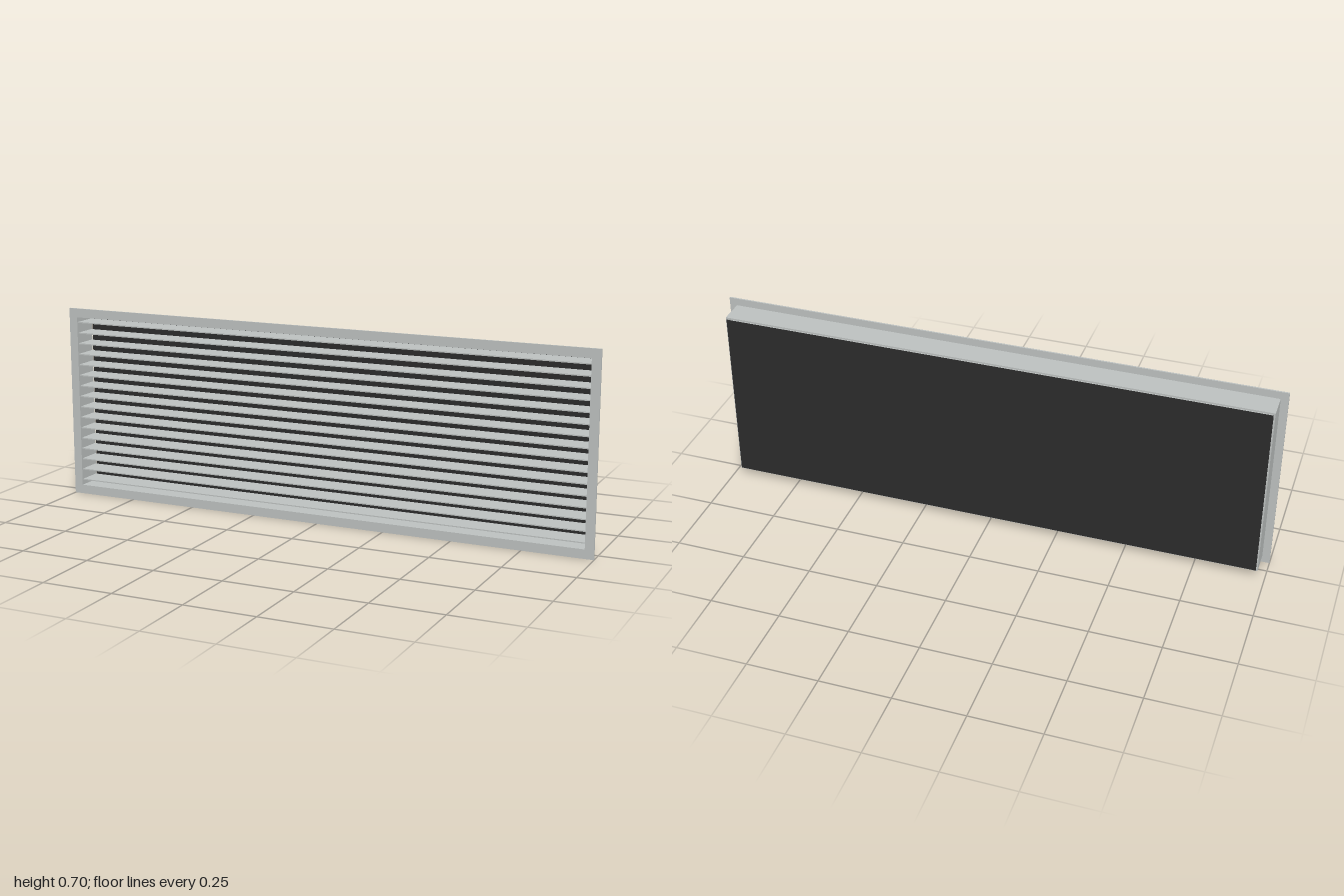
import * as THREE from 'three';

const metal = new THREE.MeshStandardMaterial({ color: 0xbcc0bf });
metal.name = 'light grey metal';
const dark = new THREE.MeshStandardMaterial({ color: 0x2b2b2b });
dark.name = 'dark backing';

// Hollow rectangular frame between an outer and an inner half size, from z0 to z1
function frame(name, outW, outH, inW, inH, z0, z1) {
  const shape = new THREE.Shape();
  shape.moveTo(-outW, -outH).lineTo(outW, -outH).lineTo(outW, outH).lineTo(-outW, outH).closePath();
  const hole = new THREE.Path();
  hole.moveTo(-inW, -inH).lineTo(-inW, inH).lineTo(inW, inH).lineTo(inW, -inH).closePath();
  shape.holes.push(hole);
  const geometry = new THREE.ExtrudeGeometry(shape, { depth: z1 - z0, bevelEnabled: false });
  const mesh = new THREE.Mesh(geometry, metal);
  mesh.name = name;
  mesh.position.set(0, 0.35, z0);
  return mesh;
}

function box(name, w, h, d, y, z, material) {
  const mesh = new THREE.Mesh(new THREE.BoxGeometry(w, h, d), material);
  mesh.name = name;
  mesh.position.set(0, y, z);
  return mesh;
}

export function createModel() {
  const grille = new THREE.Group();
  grille.name = 'ventGrille';
  const innerW = 0.968, innerH = 0.3175;

  // Front flange and the duct collar behind it
  grille.add(frame('frontFlange', 1, 0.35, innerW, innerH, 0.046, 0.052));
  grille.add(frame('ductCollar', 0.973, 0.3235, innerW, innerH, -0.045, 0.046));

  // Evenly spaced horizontal blades
  const blades = new THREE.Group();
  blades.name = 'blades';
  const count = 16, pitch = (2 * innerH) / count;
  for (let i = 0; i < count; i++) {
    const y = 0.35 - innerH + (i + 0.5) * pitch;
    blades.add(box('blade', 2 * innerW, 0.004, 0.086, y, 0.003, metal));
  }
  grille.add(blades);

  // Thin backing sheet just behind the collar
  grille.add(box('backPanel', 2 * innerW, 2 * innerH, 0.002, 0.35, -0.05, dark));
  return grille;
}
